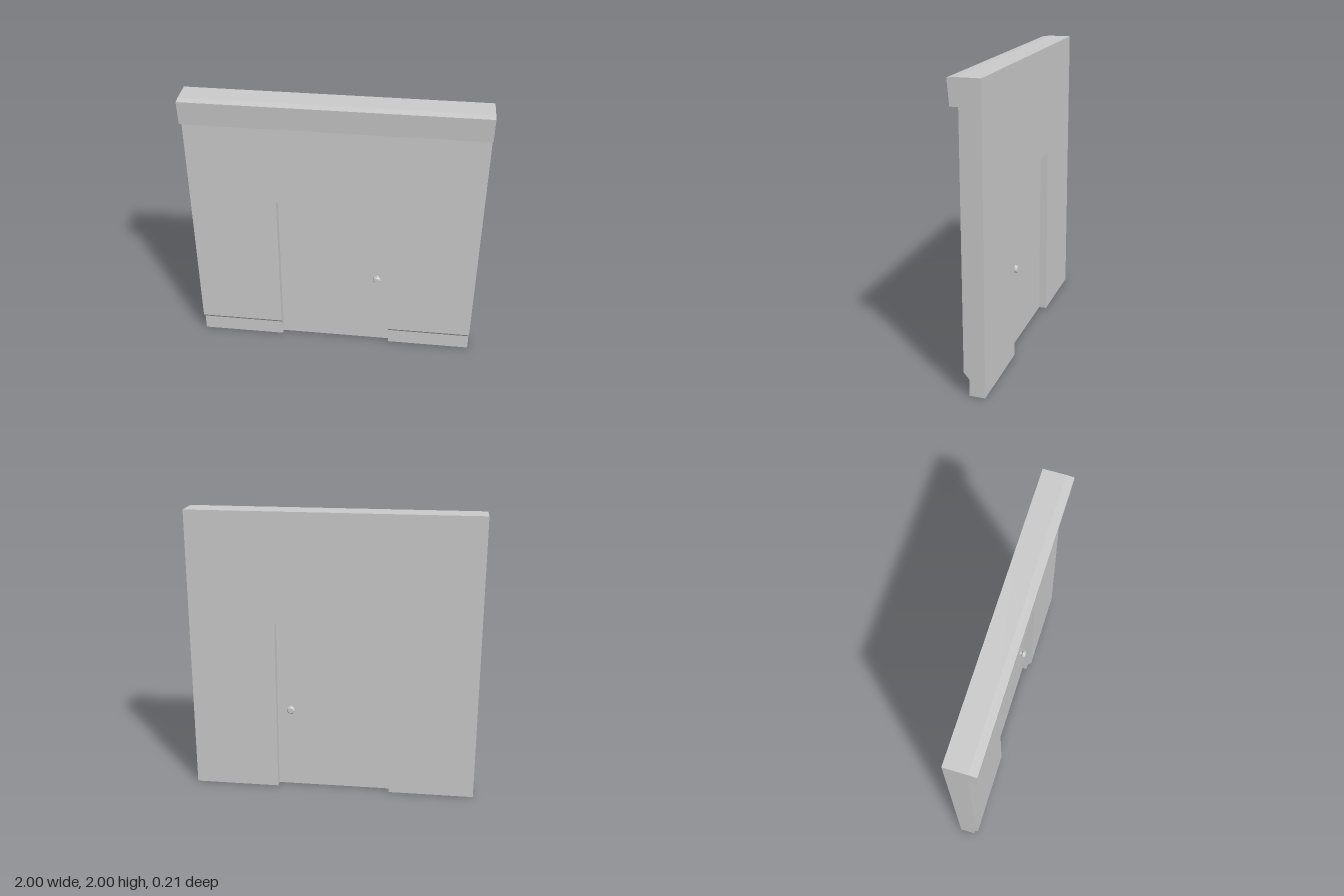
import * as THREE from 'three';

const material = new THREE.MeshStandardMaterial({ color: 0xcccccc, flatShading: true });

const DOOR_HALF = 0.402, DOOR_TOP = 1.23, BACK = -0.104;
const DOOR_FRONT = -0.033, DOOR_BACK = -0.05;

// Front edge of the wall section as [z, y], bottom to top
const plinth = [[0, 0], [0, 0.115], [0.036, 0.157]];
const cornice = [[0.036, 1.83], [0.09, 1.83], [0.104, 1.995], [0.05, 2]];

function addMesh(parent, name, geometry) {
  const mesh = new THREE.Mesh(geometry, material);
  mesh.name = name;
  parent.add(mesh);
  return mesh;
}

// Sweep a [z, y] section along x from x0 to x1
function sweep(section, x0, x1) {
  const shape = new THREE.Shape(section.map(([z, y]) => new THREE.Vector2(-z, y)));
  const geometry = new THREE.ExtrudeGeometry(shape, { depth: x1 - x0, bevelEnabled: false });
  return geometry.rotateY(Math.PI / 2).translate(x0, 0, 0);
}

export function createModel() {
  const group = new THREE.Group();
  group.name = 'wallWithDoor';

  // Wall bays either side of the doorway
  const baySection = [[BACK, 0], ...plinth, ...cornice, [BACK, 2]];
  addMesh(group, 'leftWallBay', sweep(baySection, DOOR_HALF, 1));
  addMesh(group, 'rightWallBay', sweep(baySection, -1, -DOOR_HALF));

  // Wall above the doorway
  const lintelSection = [[BACK, DOOR_TOP], [0.036, DOOR_TOP], ...cornice, [BACK, 2]];
  addMesh(group, 'lintel', sweep(lintelSection, -DOOR_HALF, DOOR_HALF));

  // Recessed door panel
  const door = new THREE.BoxGeometry(DOOR_HALF * 2, DOOR_TOP, DOOR_FRONT - DOOR_BACK);
  addMesh(group, 'door', door)
    .position.set(0, DOOR_TOP / 2, (DOOR_FRONT + DOOR_BACK) / 2);

  // Knob on each face of the door: slim neck and faceted head
  const knobProfile = [[0.014, 0], [0.014, 0.018], [0.028, 0.026], [0.028, 0.038], [0.02, 0.048], [0, 0.048]]
    .map(([r, h]) => new THREE.Vector2(r, h));
  const knob = new THREE.LatheGeometry(knobProfile, 8);
  for (const side of [1, -1]) {
    const mesh = addMesh(group, side > 0 ? 'frontKnob' : 'backKnob', knob);
    mesh.rotation.x = side * Math.PI / 2;
    mesh.position.set(0.302, 0.592, side > 0 ? DOOR_FRONT : DOOR_BACK);
  }
  return group;
}
